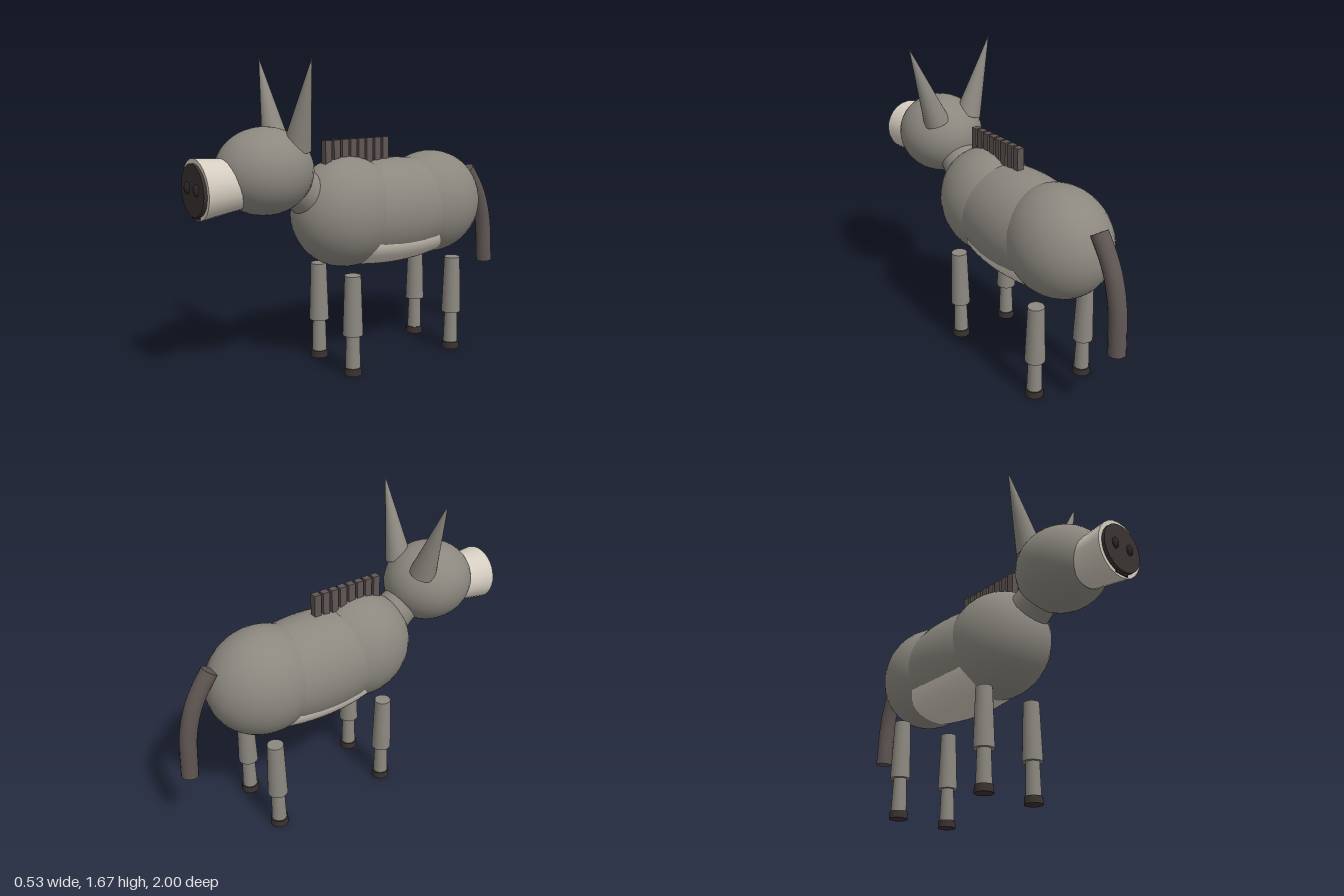
import * as THREE from 'three';

const mat = (name, color) => {
  const m = new THREE.MeshStandardMaterial({ color });
  m.name = name;
  return m;
};

export function createModel() {
  const grey = mat('grey coat', 0x8c8880);
  const cream = mat('cream', 0xd5cdc0);
  const hair = mat('dark hair', 0x5f5653);
  const dark = mat('hoof and nose', 0x3a3231);
  const black = mat('nostril', 0x2c2625);

  const model = new THREE.Group();
  const add = (name, geometry, material, x = 0, y = 0, z = 0) => {
    const mesh = new THREE.Mesh(geometry, material);
    mesh.name = name;
    mesh.position.set(x, y, z);
    model.add(mesh);
    return mesh;
  };
  const ellipsoid = (name, material, [x, y, z], [rx, ry, rz]) =>
    add(name, new THREE.SphereGeometry(1, 32, 24).scale(rx, ry, rz), material, x, y, z);
  // Tapered cylinder running from point a (radius ra) to point b (radius rb)
  const limb = (name, material, a, b, ra, rb, sides = 24) => {
    const from = new THREE.Vector3(...a), to = new THREE.Vector3(...b);
    const dir = to.clone().sub(from);
    const mesh = add(name, new THREE.CylinderGeometry(rb, ra, dir.length(), sides), material);
    mesh.position.copy(from).add(to).multiplyScalar(0.5);
    mesh.quaternion.setFromUnitVectors(new THREE.Vector3(0, 1, 0), dir.normalize());
    return mesh;
  };

  // Body
  ellipsoid('barrel', grey, [0, 0.842, -0.19], [0.263, 0.289, 0.55]);
  ellipsoid('chest', grey, [0, 0.858, 0.103], [0.257, 0.3, 0.312]);
  ellipsoid('rump', grey, [0, 0.855, -0.49], [0.262, 0.296, 0.312]);
  ellipsoid('belly', cream, [0, 0.72, -0.19], [0.226, 0.177, 0.53]);

  // Neck and head
  limb('neck', grey, [0, 0.9, 0.24], [0, 1.1, 0.52], 0.125, 0.1);
  ellipsoid('head', grey, [0, 1.117, 0.593], [0.234, 0.222, 0.255]);

  // Muzzle, nose plate, nostrils and mouth
  limb('muzzle', cream, [0, 1.065, 0.76], [0, 1.057, 0.965], 0.128, 0.151);
  limb('nosePlate', dark, [0, 1.055, 0.955], [0, 1.055, 0.982], 0.129, 0.129, 32);
  add('mouth', new THREE.BoxGeometry(0.08, 0.014, 0.008), black, 0, 0.924, 0.967);

  for (const side of [-1, 1]) {
    ellipsoid('nostril', black, [side * 0.052, 1.063, 0.982], [0.02, 0.03, 0.018]);
    limb('ear', grey, [side * 0.105, 1.235, 0.465], [side * 0.259, 1.675, 0.47], 0.073, 0);

    // Legs
    for (const z of [0.172, -0.53]) {
      const x = side * 0.166;
      limb('upperLeg', grey, [x, 0.222, z], [x, 0.548, z], 0.055, 0.044);
      limb('lowerLeg', grey, [x, 0.02, z], [x, 0.23, z], 0.042, 0.036);
      limb('hoof', dark, [x, 0, z], [x, 0.04, z], 0.05, 0.048);
    }
  }

  // Mane tufts
  for (let i = 0; i < 8; i++) {
    add('maneTuft', new THREE.BoxGeometry(0.04, 0.16, 0.04), hair, 0, 1.17, 0.22 - i * 0.0535);
  }

  // Tail with closed ends
  const path = new THREE.CatmullRomCurve3([
    [1.02, -0.78], [0.93, -0.842], [0.84, -0.888], [0.69, -0.93], [0.433, -0.951],
  ].map(([y, z]) => new THREE.Vector3(0, y, z)));
  add('tail', new THREE.TubeGeometry(path, 24, 0.046, 16), hair);
  for (const t of [0, 1]) {
    const cap = add('tailEnd', new THREE.CircleGeometry(0.046, 16), hair);
    cap.position.copy(path.getPoint(t));
    const out = path.getTangent(t).multiplyScalar(t ? 1 : -1);
    cap.quaternion.setFromUnitVectors(new THREE.Vector3(0, 0, 1), out);
  }

  return model;
}
